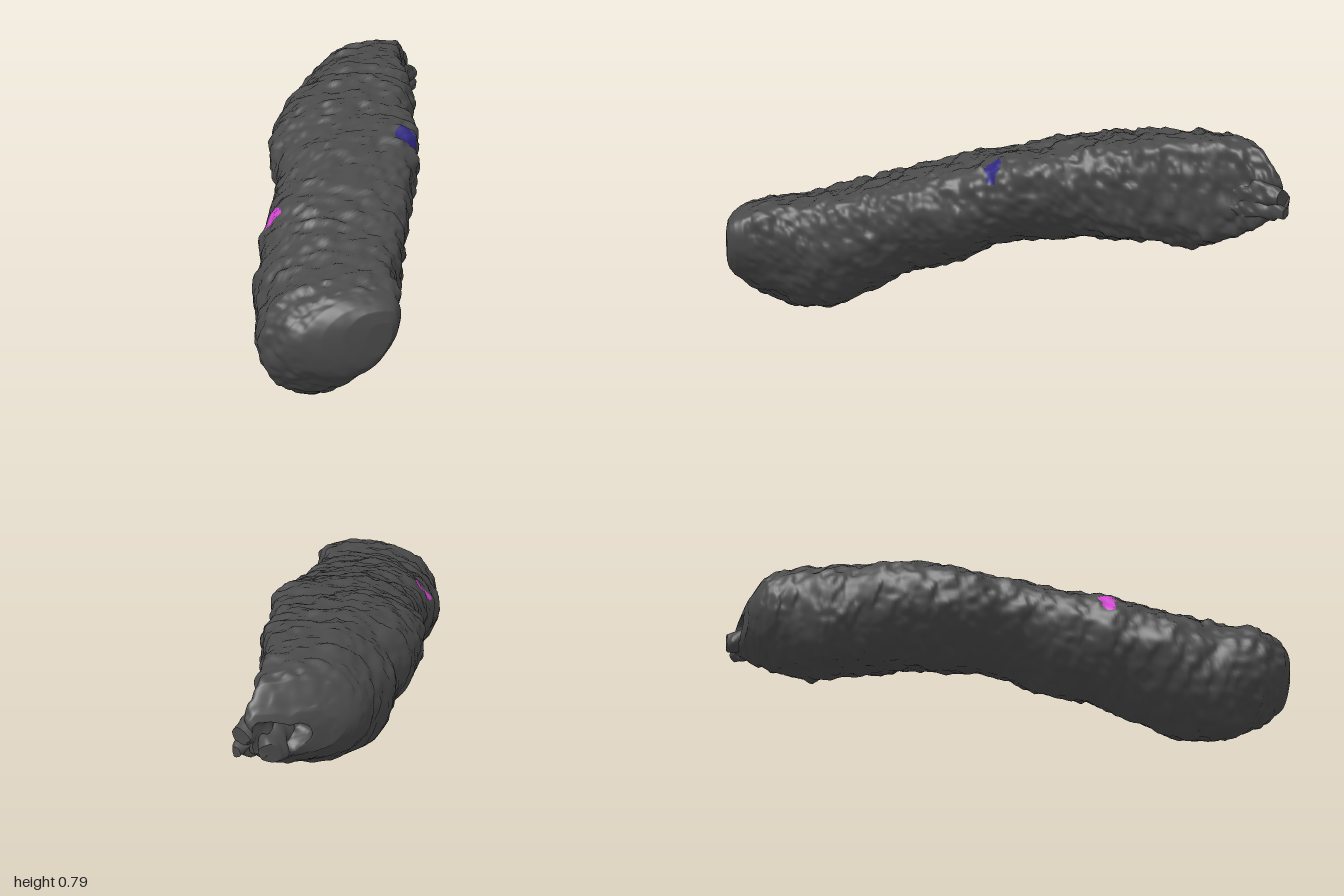
import * as THREE from 'three';

const mat = (name, color) => Object.assign(new THREE.MeshStandardMaterial({ color }), { name });

// Cross-sections front to back: z, x min, x max, y min, y max
const SECTIONS = [
  [1, -0.28, -0.19, 0.23, 0.35], [0.99, -0.36, -0.17, 0.19, 0.39], [0.97, -0.43, -0.155, 0.155, 0.41],
  [0.94, -0.49, -0.14, 0.13, 0.43], [0.9, -0.54, -0.13, 0.09, 0.45], [0.8, -0.6, -0.1, 0.025, 0.465],
  [0.7, -0.585, -0.06, -0.005, 0.475], [0.6, -0.55, -0.01, 0.005, 0.5], [0.5, -0.53, 0.04, 0.06, 0.53],
  [0.4, -0.49, 0.08, 0.11, 0.56], [0.3, -0.455, 0.13, 0.17, 0.59], [0.2, -0.4, 0.18, 0.2, 0.615],
  [0.1, -0.35, 0.23, 0.24, 0.655], [0, -0.3, 0.27, 0.3, 0.69], [-0.1, -0.265, 0.295, 0.32, 0.7],
  [-0.2, -0.265, 0.32, 0.325, 0.72], [-0.3, -0.24, 0.35, 0.34, 0.745], [-0.4, -0.2, 0.395, 0.35, 0.762],
  [-0.5, -0.14, 0.41, 0.35, 0.77], [-0.6, -0.06, 0.43, 0.355, 0.778], [-0.7, -0.02, 0.45, 0.34, 0.78],
  [-0.8, 0.06, 0.48, 0.385, 0.78], [-0.86, 0.1, 0.51, 0.42, 0.775], [-0.9, 0.13, 0.53, 0.45, 0.75],
  [-0.93, 0.17, 0.55, 0.475, 0.7], [-0.95, 0.22, 0.55, 0.5, 0.66], [-0.96, 0.34, 0.54, 0.52, 0.63],
  [-0.93, 0.34, 0.46, 0.55, 0.62], [-0.89, 0.36, 0.42, 0.57, 0.6],
];

const hash = (x, y, z) => {
  let h = Math.imul(x, 374761393) ^ Math.imul(y, 668265263) ^ Math.imul(z, 1274126177);
  h = Math.imul(h ^ (h >>> 13), 1103515245);
  return ((h ^ (h >>> 16)) >>> 0) / 4294967295 - 0.5;
};

// Smooth value noise in -0.5..0.5
function noise(x, y, z) {
  const i = [x, y, z].map(Math.floor);
  const f = [x - i[0], y - i[1], z - i[2]].map((v) => v * v * (3 - 2 * v));
  let sum = 0;
  for (let k = 0; k < 8; k++) {
    const d = [k & 1, (k >> 1) & 1, k >> 2];
    const w = d.reduce((p, on, n) => p * (on ? f[n] : 1 - f[n]), 1);
    sum += w * hash(i[0] + d[0], i[1] + d[1], i[2] + d[2]);
  }
  return sum;
}

// Bark relief: pebbly lumps, slightly squeezed along the log
function relief(x, y, z) {
  const along = z * 0.87 - x * 0.45 - y * 0.2;
  const across = x * 0.87 + z * 0.45;
  return 0.016 * noise(along * 11, across * 7, y * 7)
    + 0.022 * noise(along * 28 + 7, across * 17, y * 17)
    + 0.013 * noise(along * 52, across * 38 + 5, y * 38) - 0.003;
}

const power = (v, p) => Math.sign(v) * Math.abs(v) ** p;

// Leaning oval with a full upper right shoulder, and a full lower right one at the rear
function outline(a, z) {
  const rear = THREE.MathUtils.smoothstep(-z, 0, 0.8);
  const upper = Math.max(0, Math.cos(a - Math.PI / 4)) ** 2;
  const lower = rear * Math.max(0, Math.cos(a + Math.PI / 4)) ** 2;
  const p = 1 - 0.35 * Math.max(upper, lower);
  const lean = 0.24 + 0.22 * Math.cos(a) - 0.4 * lower;
  return [power(Math.cos(a), p), power(Math.sin(a + lean), p)];
}

function bodyGeometry(bluePatch, pinkPatch) {
  const per = 10, sides = 160, pos = [];
  const rings = (SECTIONS.length - 1) * per + 1;
  for (let i = 0; i < rings; i++) {
    const row = Math.min(Math.floor(i / per), SECTIONS.length - 2);
    const t = i / per - row;
    const [z, x0, x1, y0, y1] = SECTIONS[row].map((v, k) => THREE.MathUtils.lerp(v, SECTIONS[row + 1][k], t));
    const fade = 1 - 0.85 * THREE.MathUtils.smoothstep(z, 0.88, 0.96);
    for (let j = 0; j < sides; j++) {
      const [c, s] = outline((j / sides) * Math.PI * 2, z);
      const x = (x0 + x1) / 2 + c * (x1 - x0) / 2;
      const y = (y0 + y1) / 2 + s * (y1 - y0) / 2;
      const d = relief(x, y, z) * fade;
      pos.push(Math.max(-0.6, x + c * d), Math.max(0, y + s * d), Math.min(1, z + 0.3 * d));
    }
  }
  // Centre points closing both ends
  pos.push(-0.235, 0.29, 1, 0.39, 0.585, -0.885);
  const front = rings * sides, back = front + 1;
  const lists = [[], [], []];
  const add = (...tri) => {
    const [x, y, z] = [0, 1, 2].map((k) => tri.reduce((p, v) => p + pos[v * 3 + k], 0) / 3);
    lists[bluePatch(x, y, z) ? 1 : pinkPatch(x, y, z) ? 2 : 0].push(...tri);
  };
  for (let j = 0; j < sides; j++) {
    const n = (j + 1) % sides, last = (rings - 1) * sides;
    add(front, j, n);
    for (let i = 0; i < rings - 1; i++) {
      const a = i * sides + j, b = i * sides + n;
      add(a, a + sides, b);
      add(b, a + sides, b + sides);
    }
    add(last + n, last + j, back);
  }
  const geo = new THREE.BufferGeometry();
  geo.setAttribute('position', new THREE.Float32BufferAttribute(pos, 3));
  geo.setIndex(lists.flat());
  let start = 0;
  lists.forEach((list, k) => {
    geo.addGroup(start, list.length, k);
    start += list.length;
  });
  geo.computeVertexNormals();
  return geo;
}

// Rough splinter between two points
function splinter(from, to, r0, r1) {
  const a = new THREE.Vector3(...from), b = new THREE.Vector3(...to);
  const dir = b.clone().sub(a);
  const geo = new THREE.CylinderGeometry(r1, r0, dir.length(), 40, 20);
  geo.applyQuaternion(new THREE.Quaternion().setFromUnitVectors(new THREE.Vector3(0, 1, 0), dir.normalize()));
  geo.translate(...a.add(b).multiplyScalar(0.5).toArray());
  const p = geo.attributes.position;
  for (let i = 0; i < p.count; i++) {
    const [x, y, z] = [p.getX(i), p.getY(i), p.getZ(i)];
    const d = relief(x, y, z);
    p.setXYZ(i, Math.min(0.6, x + d), y + d, Math.max(-1, z + d));
  }
  geo.computeVertexNormals();
  return geo;
}

export function createModel() {
  const group = new THREE.Group();
  const bark = mat('charcoal', 0x4a4a4a);
  const blue = mat('indigo', 0x2f2880);
  const pink = mat('magenta', 0xd443d4);

  // Log with two small coloured patches on its upper side
  const onBlue = (x, y, z) => y > 0.6 && ((x - 0.2) / 0.043) ** 2 + ((z - 0.04) / 0.029) ** 2 < 1;
  const onPink = (x, y, z) => y > 0.43 && x > -0.45 && x < -0.37 && Math.abs(z - 0.274) < 0.008 + (x + 0.44) * 0.42;
  const log = new THREE.Mesh(bodyGeometry(onBlue, onPink), [bark, blue, pink]);
  log.name = 'log';
  group.add(log);

  // Torn tips at the back end
  [
    ['lowerTip', [0.42, 0.56, -0.85], [0.49, 0.54, -1], 0.06, 0.035],
    ['sideTip', [0.43, 0.55, -0.83], [0.59, 0.535, -0.955], 0.06, 0.022],
    ['upperTip', [0.42, 0.6, -0.83], [0.575, 0.59, -0.945], 0.07, 0.03],
  ].forEach(([name, ...args]) => {
    const mesh = new THREE.Mesh(splinter(...args), bark);
    mesh.name = name;
    group.add(mesh);
  });
  return group;
}
